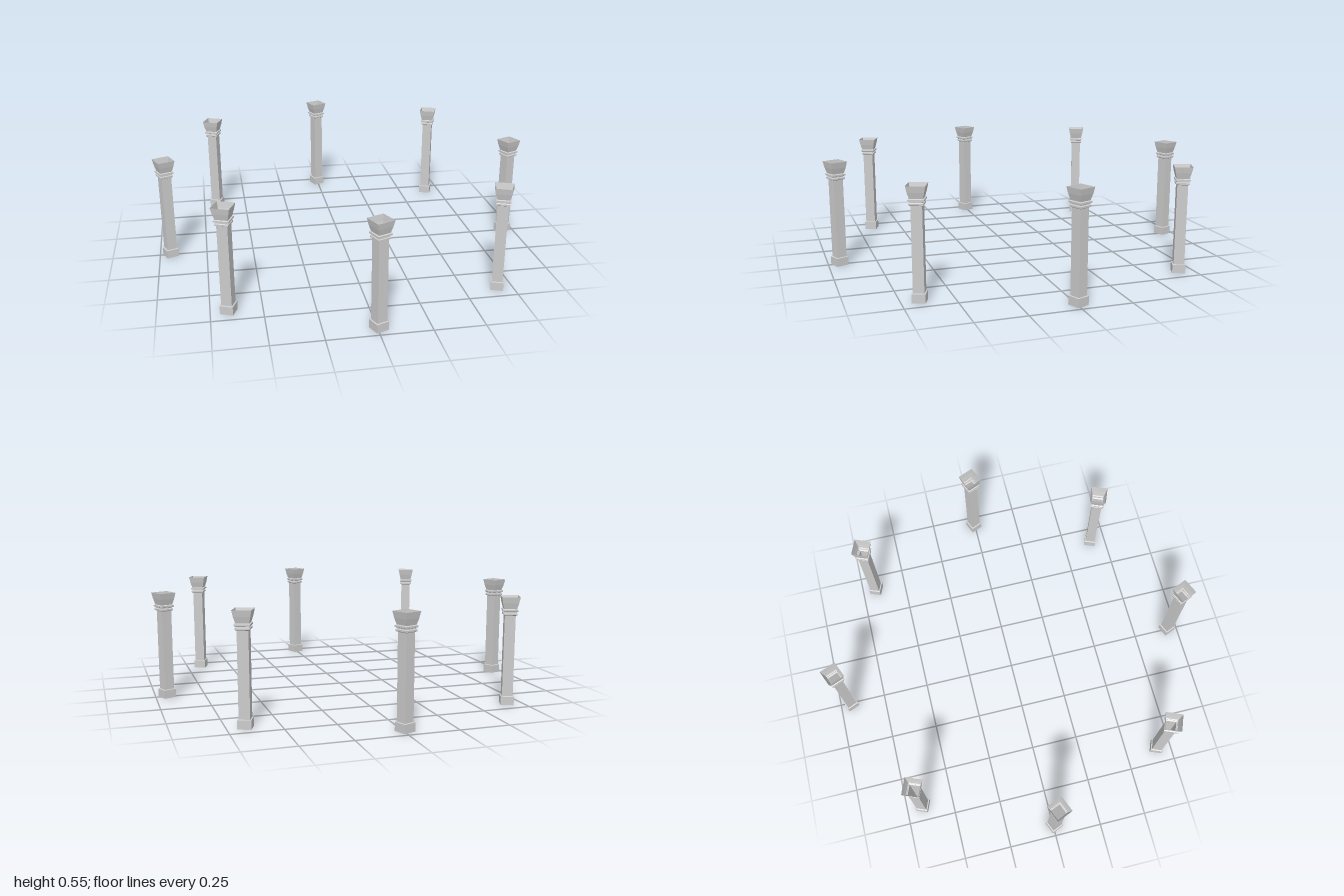
import * as THREE from 'three';

const material = new THREE.MeshStandardMaterial({ color: 0xcccccc, flatShading: true, side: THREE.DoubleSide });

// Open square tube swept from a profile of [half width, height] pairs
function squareTube(name, profile) {
  const points = profile.map(([half, y]) => new THREE.Vector2(half * Math.SQRT2, y));
  const geometry = new THREE.LatheGeometry(points, 4).rotateY(Math.PI / 4);
  const mesh = new THREE.Mesh(geometry, material);
  mesh.name = name;
  return mesh;
}

function createColumn() {
  const column = new THREE.Group();
  column.add(
    // plinth with a ledge stepping in to the shaft
    squareTube('base', [[0.0325, 0], [0.0325, 0.043], [0.0265, 0.045]]),
    squareTube('shaft', [[0.0265, 0.045], [0.0265, 0.452]]),
    // two thin bands under the capital
    squareTube('neckBands', [
      [0.0265, 0.452], [0.034, 0.456], [0.034, 0.464], [0.03, 0.467],
      [0.03, 0.471], [0.037, 0.474], [0.037, 0.482], [0.031, 0.485],
    ]),
    // flared, open-topped capital
    squareTube('capital', [[0.031, 0.485], [0.039, 0.515], [0.0445, 0.545]]),
  );
  return column;
}

export function createModel() {
  const model = new THREE.Group();
  model.name = 'columnRing';
  const radius = 0.942, count = 8, offset = 0.006;

  // Ring of columns, each turned along with its place on the circle
  for (let i = 0; i < count; i++) {
    const angle = (i / count) * Math.PI * 2 + offset;
    const column = createColumn();
    column.name = `column${i + 1}`;
    column.position.set(radius * Math.cos(angle), 0, -radius * Math.sin(angle));
    column.rotation.y = angle + Math.PI / 8;
    model.add(column);
  }
  return model;
}
